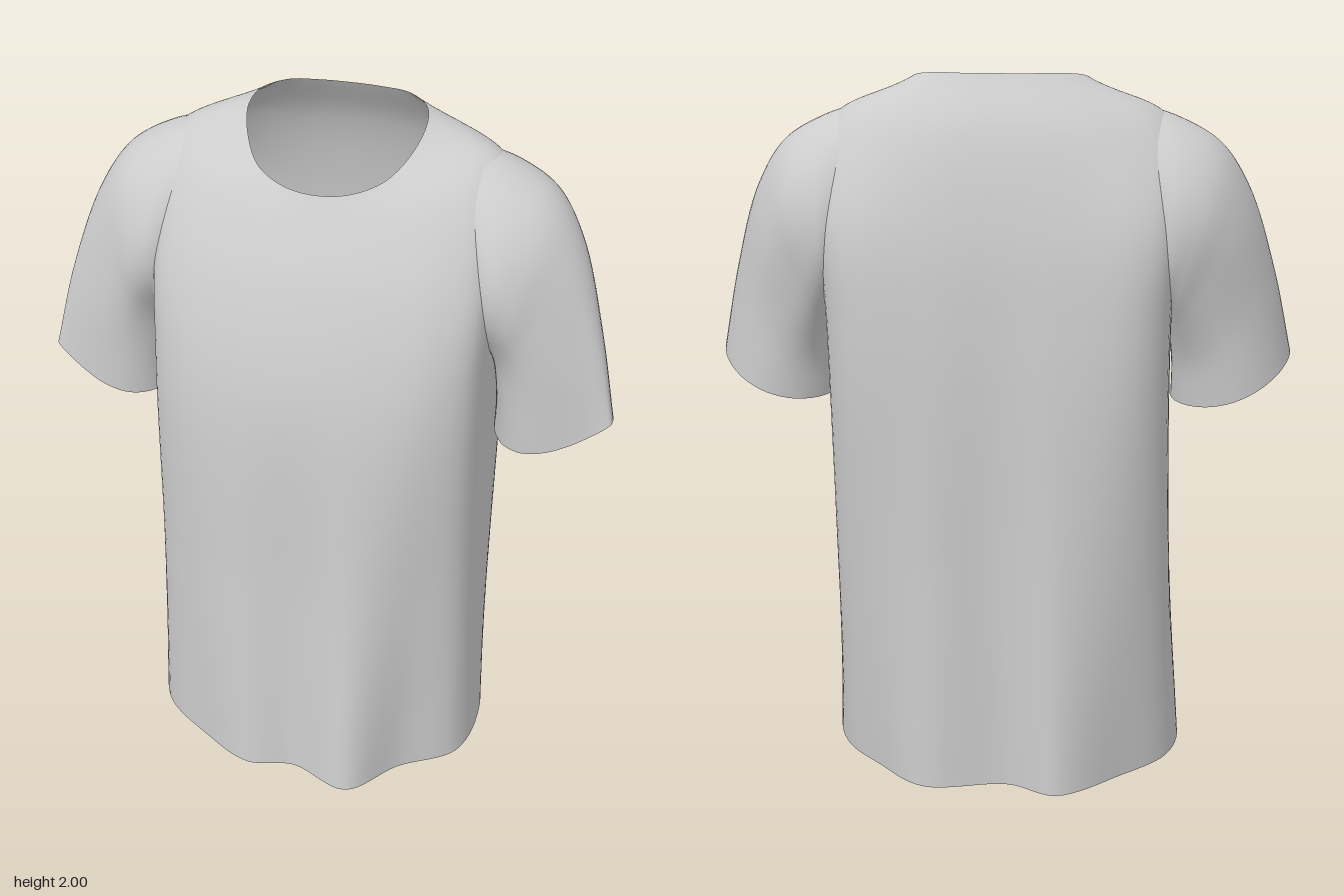
import * as THREE from 'three';

const V = (x, y, z) => new THREE.Vector3(x, y, z);

// Smooth open tube through closed key rings; faces for which skip(centre) holds are left out
function loft(rings, around, along, flip = false, skip = () => false, bump = () => {}) {
  const keys = rings.map((r) => {
    const c = new THREE.CatmullRomCurve3(r, true);
    return Array.from({ length: around }, (_, i) => c.getPoint(i / around));
  });
  const pts = [];
  for (let i = 0; i < around; i++) {
    const column = new THREE.CatmullRomCurve3(keys.map((k) => k[i]));
    for (let j = 0; j <= along; j++) {
      const p = column.getPoint(j / along);
      bump(p, i / around, j / along);
      pts.push(p);
    }
  }
  const index = [];
  const at = (i, j) => (i % around) * (along + 1) + j;
  for (let i = 0; i < around; i++) {
    for (let j = 0; j < along; j++) {
      const a = at(i, j), b = at(i + 1, j), c = at(i + 1, j + 1), d = at(i, j + 1);
      const mid = pts[a].clone().add(pts[c]).multiplyScalar(0.5);
      if (skip(mid)) continue;
      if (flip) index.push(a, b, c, a, c, d);
      else index.push(a, c, b, a, d, c);
    }
  }
  const g = new THREE.BufferGeometry().setFromPoints(pts);
  g.setIndex(index);
  g.computeVertexNormals();
  return g;
}

// Full ring from its left half, listed front centre -> left side -> back centre
function mirrored(half) {
  const left = half.map((p) => V(...p));
  const right = left.slice(1, -1).map((p) => V(-p.x, p.y, p.z));
  // order: left side, front, right side, back
  return [...left.slice(0, 5).reverse(), ...right, ...left.slice(5).reverse()];
}

export function createModel() {
  const group = new THREE.Group();
  const cloth = new THREE.MeshStandardMaterial({ color: 0xcccccc, side: THREE.DoubleSide });
  cloth.name = 'light grey cloth';

  // Wavy hem outline, from the left side round the front
  const hem = [
    [0.5, -0.04], [0.47, 0.19], [0.31, 0.31], [0.18, 0.45], [0, 0.39], [-0.14, 0.415], [-0.3, 0.335], [-0.47, 0.2],
    [-0.53, -0.03], [-0.49, -0.19], [-0.36, -0.32], [-0.18, -0.45], [-0.04, -0.395], [0.2, -0.425], [0.35, -0.3], [0.45, -0.19],
  ].map(([x, z]) => V(x, 0.012 + 0.02 * z, z));

  const chest = mirrored([
    [0, 1.3, 0.33], [0.18, 1.3, 0.317], [0.35, 1.3, 0.27], [0.45, 1.3, 0.18], [0.468, 1.3, -0.06],
    [0.46, 1.3, -0.31], [0.38, 1.3, -0.395], [0.18, 1.3, -0.42], [0, 1.3, -0.41],
  ]);
  const upperChest = mirrored([
    [0, 1.6, 0.24], [0.2, 1.6, 0.225], [0.36, 1.61, 0.182], [0.455, 1.62, 0.11], [0.48, 1.62, -0.1],
    [0.465, 1.62, -0.32], [0.38, 1.61, -0.375], [0.2, 1.6, -0.392], [0, 1.6, -0.39],
  ]);
  const shoulders = mirrored([
    [0, 1.74, 0.168], [0.18, 1.755, 0.145], [0.33, 1.808, 0.078], [0.42, 1.864, -0.02], [0.46, 1.874, -0.12],
    [0.43, 1.868, -0.21], [0.34, 1.85, -0.28], [0.18, 1.85, -0.32], [0, 1.86, -0.325],
  ]);
  const neckline = mirrored([
    [0, 1.83, 0.115], [0.09, 1.837, 0.1], [0.17, 1.865, 0.06], [0.22, 1.91, -0.01], [0.245, 1.965, -0.09],
    [0.23, 1.99, -0.16], [0.17, 2, -0.215], [0.09, 2, -0.235], [0, 2, -0.24],
  ]);
  // Waist halfway up, already as narrow as the chest
  const waist = hem.map((p, i) => p.clone().lerp(chest[i], 0.48).setX(THREE.MathUtils.lerp(p.x, chest[i].x, 0.7)));

  // Torso, left open at the armholes inside the sleeves
  const armhole = (p) =>
    Math.abs(p.x) > 0.41 && ((p.y - 1.63) / 0.21) ** 2 + ((p.z + 0.11) / 0.17) ** 2 < 1;
  const torso = new THREE.Mesh(
    loft([hem, waist, chest, upperChest, shoulders, neckline], 128, 60, false, armhole),
    cloth,
  );
  torso.name = 'torso';
  group.add(torso);

  // Sleeve stations: outer top point, inner bottom point, middle z, half depth, sag of the edges
  const stations = [
    [[0.38, 1.913, -0.12], [0.44, 1.38, -0.11], -0.11, 0.21, 0],
    [[0.49, 1.876, -0.12], [0.45, 1.36, -0.11], -0.11, 0.236, 0],
    [[0.6, 1.81, -0.11], [0.46, 1.33, -0.11], -0.108, 0.228, 0],
    [[0.685, 1.68, -0.08], [0.47, 1.28, -0.11], -0.1, 0.202, 0],
    [[0.765, 1.44, -0.015], [0.48, 1.19, -0.1], -0.08, 0.172, 0.02],
    [[0.82, 1.2, 0.025], [0.48, 1.09, -0.085], -0.075, 0.157, 0.035],
  ];
  // Soft creases gathering towards the armpit
  const creases = (p, u, v) => {
    const fade = Math.sin(Math.PI * v) ** 2 * (0.5 - 0.5 * Math.cos(2 * Math.PI * u));
    p.z += 0.01 * fade * Math.sin(14 * p.y + 22 * Math.abs(p.x));
  };
  for (const side of [1, -1]) {
    const rings = stations.map(([top, low, zMid, depth, sag]) =>
      Array.from({ length: 16 }, (_, i) => {
        const a = (i / 16) * Math.PI * 2;
        const c = Math.cos(a), s = Math.sin(a);
        const k = (1 + c) / 2;
        const zAxis = THREE.MathUtils.lerp(low[2], top[2], k);
        return V(
          side * THREE.MathUtils.lerp(low[0], top[0], k),
          THREE.MathUtils.lerp(low[1], top[1], k) - sag * s * s,
          // fuller towards the underarm than over the shoulder
          THREE.MathUtils.lerp(zAxis, zMid, Math.abs(s)) + depth * s * (1 - 0.13 * c),
        );
      }),
    );
    const sleeve = new THREE.Mesh(loft(rings, 64, 36, side > 0, undefined, creases), cloth);
    sleeve.name = side > 0 ? 'leftSleeve' : 'rightSleeve';
    group.add(sleeve);
  }
  return group;
}
